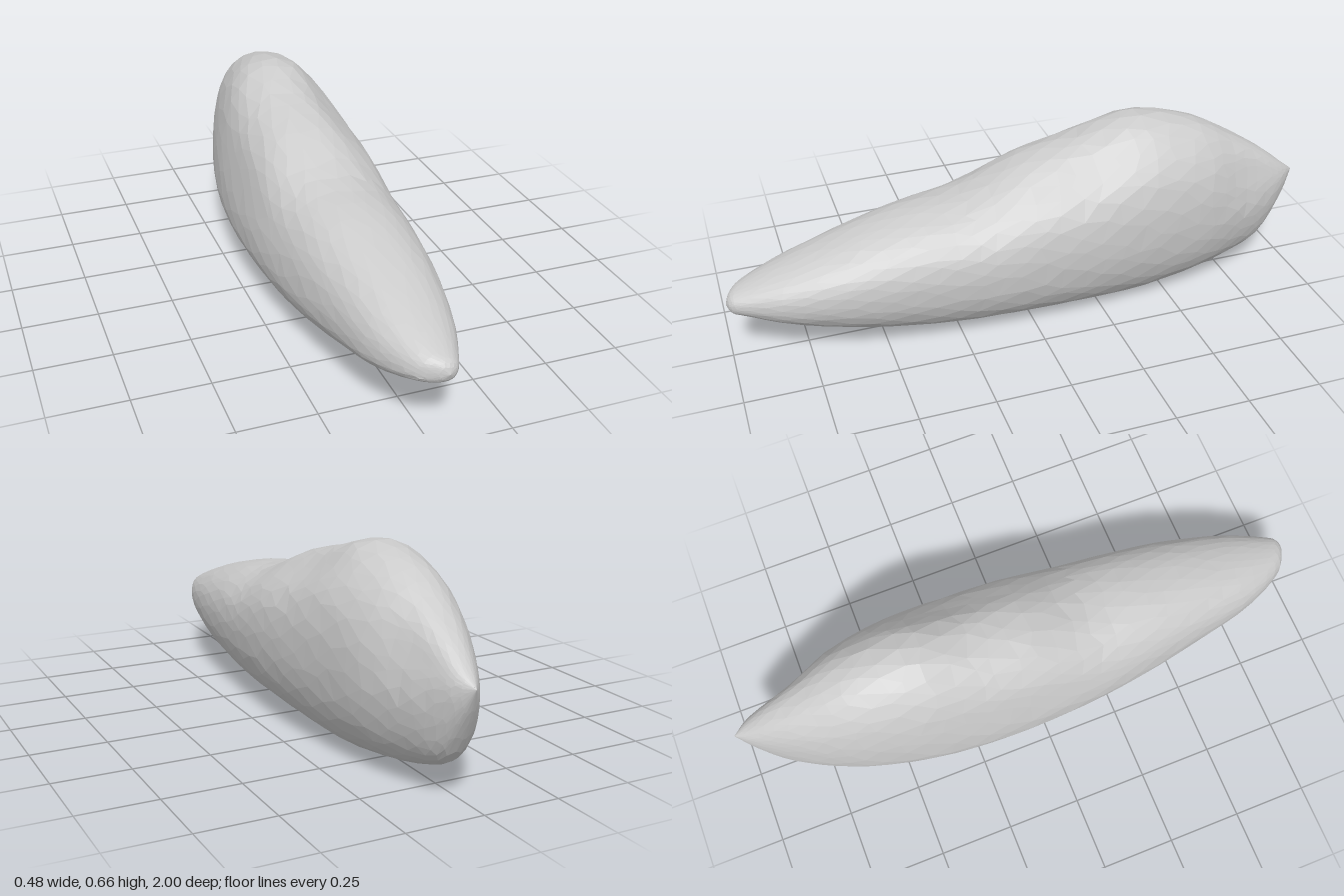
import * as THREE from 'three';

// Cross-sections from the front tip to the back tip:
// [z, top y, bottom y, right-side x, left-side x, height of widest point]
const SECTIONS = [
  [1.0, 0.235, 0.235, 0.04, 0.04, 0.235],
  [0.985, 0.265, 0.205, 0.0, 0.07, 0.232],
  [0.94, 0.288, 0.185, -0.055, 0.095, 0.23],
  [0.8, 0.338, 0.133, -0.12, 0.15, 0.225],
  [0.6, 0.40, 0.08, -0.165, 0.193, 0.23],
  [0.4, 0.447, 0.04, -0.203, 0.215, 0.235],
  [0.2, 0.478, 0.018, -0.23, 0.23, 0.24],
  [0.0, 0.56, 0.012, -0.243, 0.24, 0.25],
  [-0.2, 0.612, 0.006, -0.243, 0.238, 0.26],
  [-0.4, 0.662, 0.002, -0.225, 0.222, 0.28],
  [-0.6, 0.622, 0.03, -0.182, 0.195, 0.29],
  [-0.75, 0.545, 0.065, -0.125, 0.155, 0.30],
  [-0.87, 0.468, 0.12, -0.06, 0.115, 0.31],
  [-0.95, 0.405, 0.25, -0.005, 0.08, 0.34],
  [-1.0, 0.365, 0.365, 0.04, 0.04, 0.365],
];

const RINGS = 40;
const SIDES = 30;

// Small seeded generator, returns -1..1
function seeded(seed) {
  return () => {
    seed = (seed * 16807) % 2147483647;
    return (seed / 2147483647) * 2 - 1;
  };
}

const bump = (d, width) => Math.exp(-(d * d) / (width * width));

function stoneGeometry() {
  const random = seeded(4711);
  const curve = (a, b, c) => new THREE.CatmullRomCurve3(
    SECTIONS.map((s) => new THREE.Vector3(s[a], s[b], s[c])), false, 'catmullrom', 0.5);
  const profile = curve(0, 1, 2);
  const widths = curve(3, 4, 5);
  const positions = [];
  const indices = [];

  for (let i = 0; i <= RINGS; i++) {
    const end = i === 0 || i === RINGS;
    for (let j = 0; j < SIDES; j++) {
      // Uneven spacing gives irregular facets that stay on the surface
      const t = i / RINGS + (end ? 0 : random() * 0.25 / RINGS);
      const angle = ((j + (i % 2) * 0.5 + random() * 0.25) / SIDES) * Math.PI * 2;
      const p = profile.getPoint(t);
      const w = widths.getPoint(t);
      const [z, top, bottom] = [p.x, p.y, p.z];
      const c = Math.cos(angle);
      const s = Math.sin(angle);

      // Egg-shaped section, widest higher up on the left than on the right
      const size = top - bottom;
      const middle = w.z + 0.07 * size * c;
      const halfWidth = (w.y - w.x) / 2;
      const centre = (w.x + w.y) / 2;
      const full = (v) => Math.sign(v) * Math.abs(v) ** 0.9;
      let x = centre + halfWidth * full(c);
      let y = middle + full(s) * (s > 0 ? top - middle : middle - bottom);

      // Shallow hollows on the upper left, the upper right and the back
      const hollow = 0.022 * bump(angle - 0.95, 0.35) * bump(z + 0.2, 0.3)
        + 0.012 * bump(angle - 2.75, 0.3) * bump(z + 0.1, 0.4)
        + 0.018 * bump(angle - 0.5, 0.5) * bump(z + 0.78, 0.12);
      x -= c * hollow;
      y -= s * hollow;
      positions.push(x, y, z);
    }
  }

  for (let i = 0; i < RINGS; i++) {
    for (let j = 0; j < SIDES; j++) {
      const k = (j + 1) % SIDES;
      const a = i * SIDES + j;
      const b = i * SIDES + k;
      const c = a + SIDES;
      const d = b + SIDES;
      // Staggered rings: alternate the diagonal
      if (i % 2 === 0) indices.push(a, c, b, b, c, d);
      else indices.push(a, c, d, a, d, b);
    }
  }

  const geometry = new THREE.BufferGeometry();
  geometry.setAttribute('position', new THREE.Float32BufferAttribute(positions, 3));
  geometry.setIndex(indices);
  geometry.computeVertexNormals();
  return geometry;
}

export function createModel() {
  const group = new THREE.Group();
  group.name = 'rock';
  const material = new THREE.MeshStandardMaterial({ color: 0xcccccc, flatShading: true });
  const stone = new THREE.Mesh(stoneGeometry(), material);
  stone.name = 'stone';
  group.add(stone);
  return group;
}
